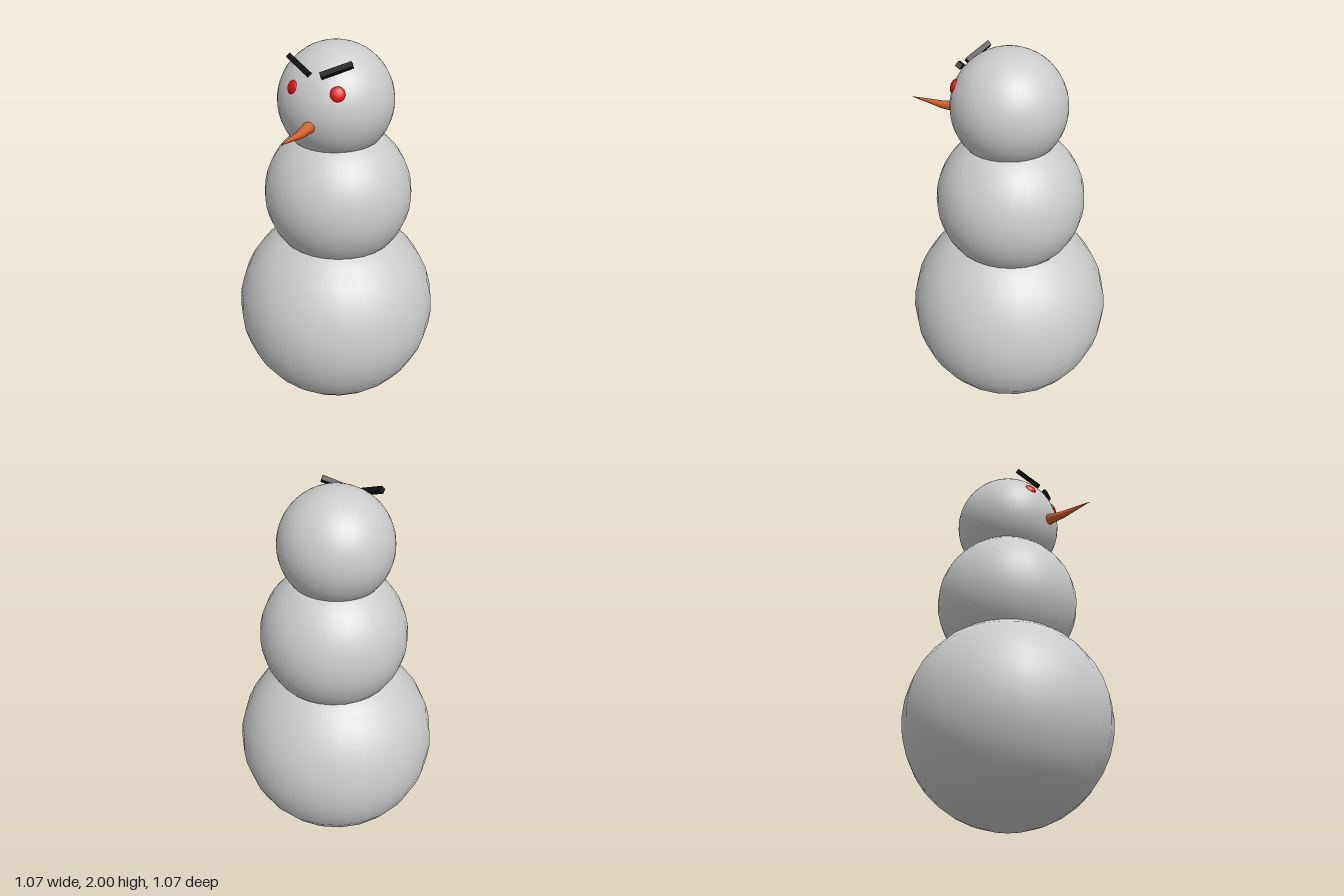
import * as THREE from 'three';

const material = (color) => new THREE.MeshStandardMaterial({ color });

function add(parent, name, geometry, mat, position = [0, 0, 0]) {
  const mesh = new THREE.Mesh(geometry, mat);
  mesh.name = name;
  mesh.position.set(...position);
  parent.add(mesh);
  return mesh;
}

// Round tapered horn through rings of [y, z, radius]
function taperedHorn(rings, sides) {
  const positions = [], index = [];
  for (const [y, z, r] of rings) {
    for (let i = 0; i < sides; i++) {
      const a = (i / sides) * Math.PI * 2;
      positions.push(Math.cos(a) * r, y + Math.sin(a) * r, z);
    }
  }
  for (let k = 0; k < rings.length - 1; k++) {
    for (let i = 0; i < sides; i++) {
      const a = k * sides + i, b = k * sides + (i + 1) % sides;
      index.push(a, b, b + sides, a, b + sides, a + sides);
    }
  }
  const geometry = new THREE.BufferGeometry();
  geometry.setAttribute('position', new THREE.Float32BufferAttribute(positions, 3));
  geometry.setIndex(index);
  geometry.computeVertexNormals();
  return geometry;
}

export function createModel() {
  const snowman = new THREE.Group();
  snowman.name = 'snowman';
  const snow = material(0xcccccc);
  const red = material(0xdd1111);
  const black = material(0x111111);
  const orange = material(0xd2622f);

  // Three stacked snowballs
  add(snowman, 'lowerBody', new THREE.SphereGeometry(0.535, 24, 18), snow, [0, 0.54, 0]);
  add(snowman, 'upperBody', new THREE.SphereGeometry(0.38, 28, 20), snow, [0.007, 1.22, -0.01]);
  add(snowman, 'head', new THREE.SphereGeometry(0.285, 40, 28), snow, [0, 1.715, 0]);

  // Carrot nose, drooping slightly and then lifting to the tip
  const noseRings = [
    [1.674, 0.2, 0.033], [1.67, 0.28, 0.029], [1.665, 0.37, 0.019],
    [1.672, 0.45, 0.01], [1.678, 0.534, 0.001],
  ];
  add(snowman, 'nose', taperedHorn(noseRings, 16), orange);

  const headCentre = new THREE.Vector3(0, 1.715, 0);
  for (const [side, s, shift] of [['left', 1, 0.007], ['right', -1, 0.007]]) {
    // Flattened eye facing outward from the head
    const eye = add(snowman, side + 'Eye', new THREE.SphereGeometry(0.035, 20, 14), red,
      [s * 0.113 + shift, 1.828, 0.228]);
    eye.lookAt(eye.position.clone().multiplyScalar(2).sub(headCentre));
    eye.scale.z = 0.5;

    // Slanted brow bar from the middle of the face up and outward
    const inner = new THREE.Vector3(s * 0.03 + shift, 1.9, 0.23);
    const outer = new THREE.Vector3(s * 0.16 + shift, 1.953, 0.174);
    const along = outer.clone().sub(inner);
    const length = along.length();
    const middle = inner.clone().add(outer).multiplyScalar(0.5);
    const xAxis = along.normalize();
    const zAxis = middle.clone().sub(headCentre);
    zAxis.addScaledVector(xAxis, -zAxis.dot(xAxis)).normalize();
    const yAxis = zAxis.clone().cross(xAxis);
    const brow = add(snowman, side + 'Brow', new THREE.BoxGeometry(length, 0.026, 0.026), black,
      middle.toArray());
    brow.quaternion.setFromRotationMatrix(new THREE.Matrix4().makeBasis(xAxis, yAxis, zAxis));
  }

  return snowman;
}
